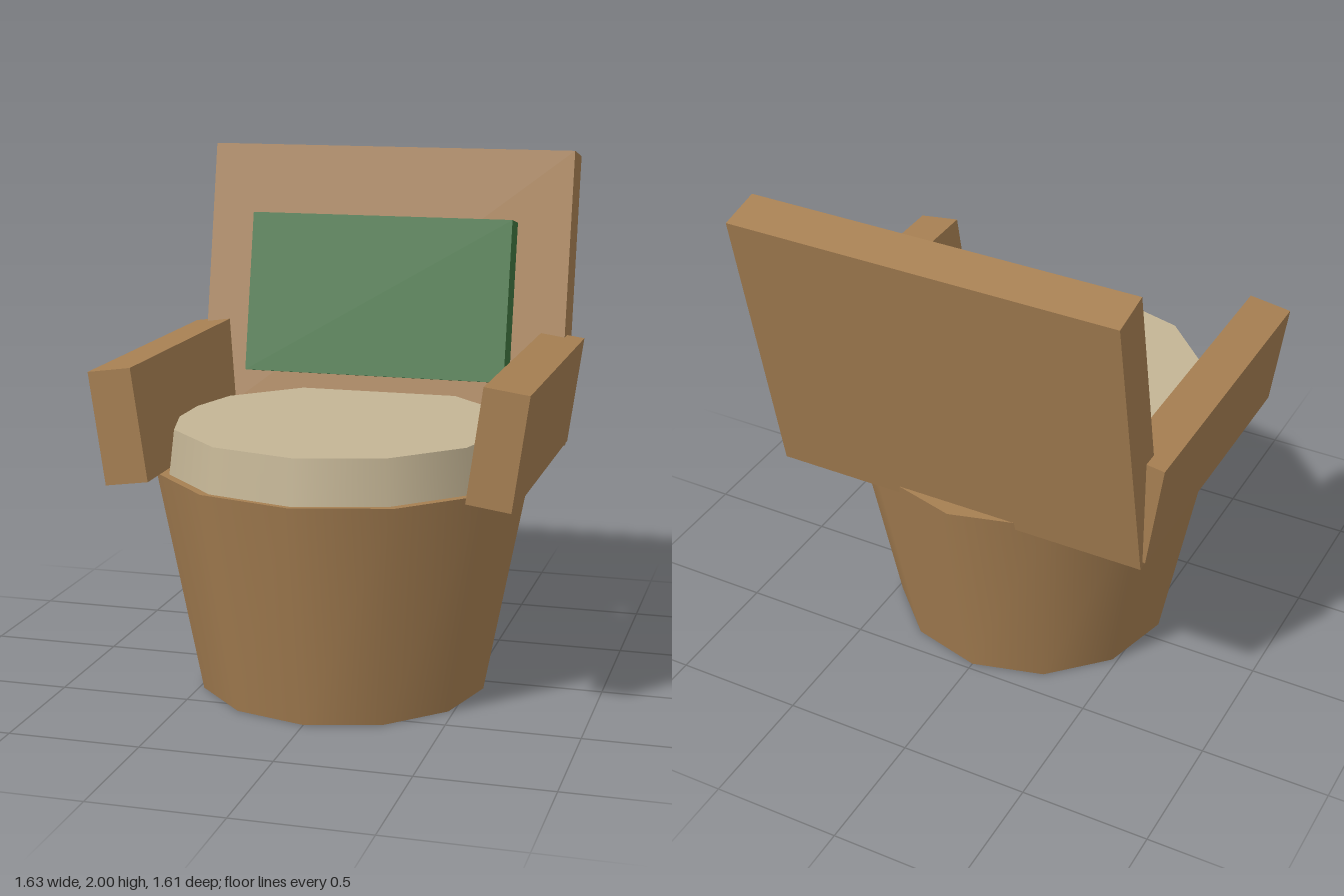
import * as THREE from 'three';

const wood = new THREE.MeshStandardMaterial({ color: 0xa67f52 });
const fabric = new THREE.MeshStandardMaterial({ color: 0xc4b595 });
const green = new THREE.MeshStandardMaterial({ color: 0x3f743f });

export function createModel() {
  const chair = new THREE.Group();
  chair.name = 'tubArmchair';

  function add(name, geometry, material, position, tiltX = 0, tiltZ = 0) {
    const mesh = new THREE.Mesh(geometry, material);
    mesh.name = name;
    mesh.position.set(...position);
    mesh.rotation.set(tiltX, 0, tiltZ);
    chair.add(mesh);
  }

  // Tapered twelve-sided tub and the seat cushion set into it
  add('base', new THREE.CylinderGeometry(0.72, 0.555, 0.86, 12), wood, [0, 0.43, 0.083]);
  add('seatCushion', new THREE.CylinderGeometry(0.64, 0.663, 0.19, 12), fabric, [0, 0.935, 0.12]);

  // Reclined backrest with its pad
  const recline = -0.207;
  add('backrest', new THREE.BoxGeometry(1.49, 1.165, 0.168), wood, [0, 1.4125, -0.6025], recline);
  add('backCushion', new THREE.BoxGeometry(1.065, 0.639, 0.118), green, [0, 1.415, -0.4575], recline);

  // Arms splayed outwards
  for (const [name, side] of [['leftArm', 1], ['rightArm', -1]]) {
    add(name, new THREE.BoxGeometry(0.166, 0.425, 1.175), wood, [side * 0.7025, 1.07, 0.0375], 0, side * -0.14);
  }

  return chair;
}
